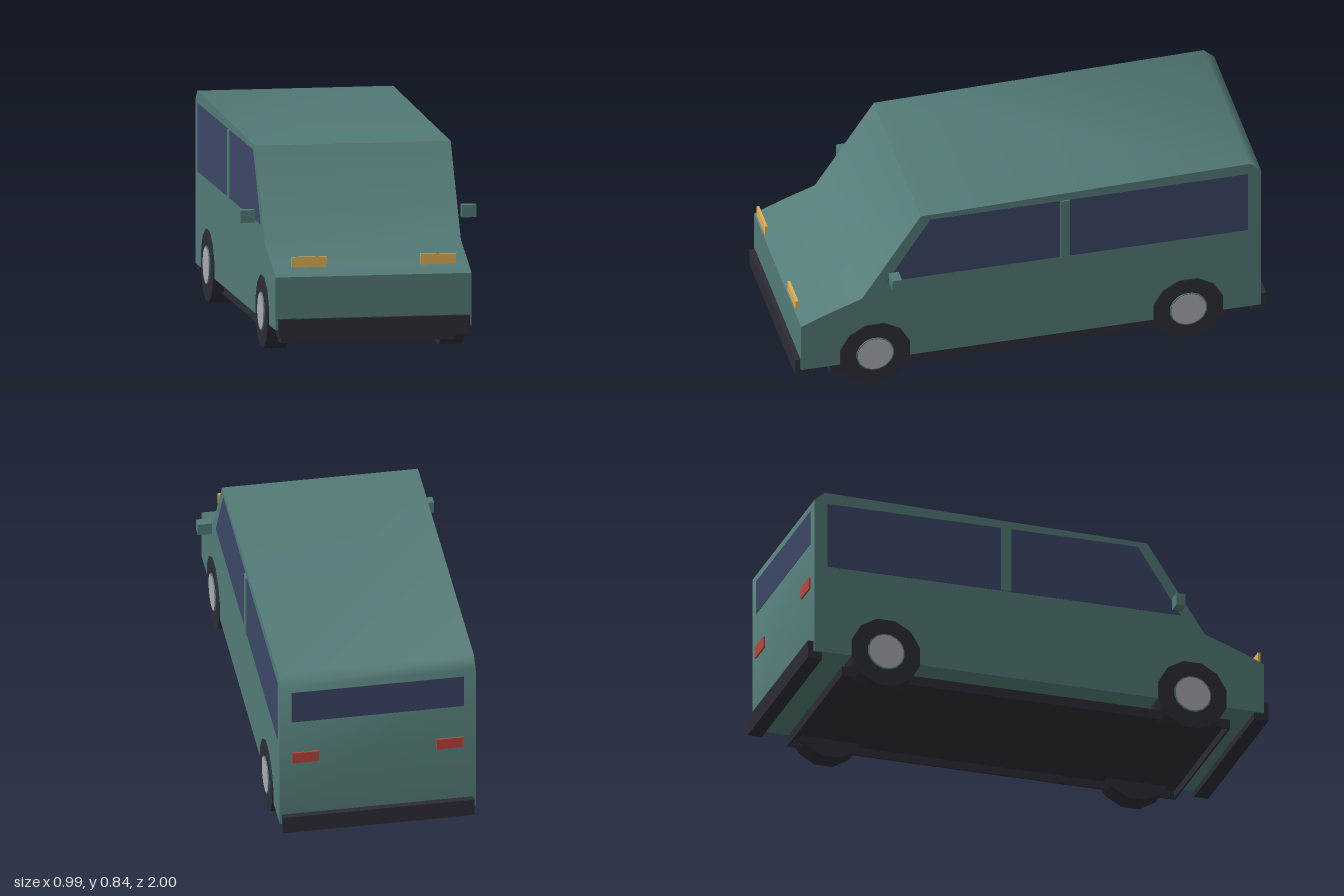
import * as THREE from 'three';
import { toCreasedNormals } from 'three/addons/utils/BufferGeometryUtils.js';

const mat = (name, color) => {
  const m = new THREE.MeshStandardMaterial({ color });
  m.name = name;
  return m;
};

export function createModel() {
  const van = new THREE.Group();
  van.name = 'van';
  const paint = mat('green paint', 0x537b77);
  const glass = mat('tinted glass', 0x3b4766);
  const rubber = mat('dark trim', 0x2c2c36);
  const metal = mat('hubcap grey', 0xa9a9b2);
  const amber = mat('amber lamp', 0xdeae56);
  const red = mat('red lamp', 0xb8463a);

  const add = (name, geometry, material) => {
    const mesh = new THREE.Mesh(geometry, material);
    mesh.name = name;
    van.add(mesh);
  };
  // Box given by its limits along each axis
  const box = (name, material, [x0, x1], [y0, y1], [z0, z1]) => {
    const geometry = new THREE.BoxGeometry(x1 - x0, y1 - y0, z1 - z0);
    add(name, geometry.translate((x0 + x1) / 2, (y0 + y1) / 2, (z0 + z1) / 2), material);
  };
  // Side outline of [z, y] points, extruded across x and centred; shallow corners shade smoothly
  const slab = (name, material, points, width, x = 0) => {
    const shape = new THREE.Shape(points.map(([z, y]) => new THREE.Vector2(z, y)));
    const geometry = new THREE.ExtrudeGeometry(shape, { depth: width, bevelEnabled: false });
    geometry.rotateY(-Math.PI / 2).translate(width / 2 + x, 0, 0);
    add(name, toCreasedNormals(geometry, 0.85), material);
  };
  // Short cylinder lying along x
  const disc = (name, material, radius, width, sides, x, y, z) => {
    const geometry = new THREE.CylinderGeometry(radius, radius, width, sides);
    geometry.rotateY(Math.PI / sides).rotateZ(Math.PI / 2).translate(x, y, z);
    add(name, geometry, material);
  };

  // Body shell
  slab('body', paint, [
    [-0.975, 0.115], [0.978, 0.115], [0.978, 0.335], [0.87, 0.38], [0.72, 0.435],
    [0.47, 0.812], [-0.93, 0.84], [-0.975, 0.8],
  ], 0.82);

  // Floor pan: a shallow tray, open below
  box('floorPan', rubber, [-0.365, 0.365], [0.077, 0.083], [-0.84, 0.845]);
  box('frontFloorRim', rubber, [-0.365, 0.365], [0.042, 0.077], [0.837, 0.845]);
  box('rearFloorRim', rubber, [-0.365, 0.365], [0.042, 0.077], [-0.84, -0.832]);

  // Bumpers
  box('frontBumper', rubber, [-0.4, 0.4], [0.085, 0.162], [0.938, 1]);
  box('rearBumper', rubber, [-0.4, 0.4], [0.085, 0.162], [-1, -0.938]);

  // Rear window
  box('rearWindow', glass, [-0.36, 0.36], [0.622, 0.77], [-0.9765, -0.972]);

  for (const [side, s] of [['left', 1], ['right', -1]]) {
    const span = (a, b) => (s > 0 ? [a, b] : [-b, -a]);

    box(side + 'FloorRim', rubber, span(0.357, 0.365), [0.042, 0.077], [-0.84, 0.845]);

    // Side windows, nearly flush, and the pillar between them
    slab(side + 'FrontWindow', glass,
      [[-0.123, 0.505], [0.615, 0.505], [0.43, 0.79], [-0.123, 0.79]], 0.005, s * 0.409);
    slab(side + 'RearWindow', glass,
      [[-0.918, 0.505], [-0.16, 0.505], [-0.16, 0.79], [-0.918, 0.79]], 0.005, s * 0.409);
    box(side + 'Pillar', paint, span(0.4, 0.417), [0.505, 0.79], [-0.162, -0.121]);

    // Mirror and lamps
    box(side + 'Mirror', paint, span(0.434, 0.494), [0.512, 0.564], [0.57, 0.61]);
    box(side + 'Headlight', amber, span(0.196, 0.343), [0.376, 0.419], [0.973, 0.985]);
    box(side + 'TailLight', red, span(0.246, 0.358), [0.419, 0.469], [-0.982, -0.97]);

    // Twelve-sided wheels with painted rims around grey hubcaps
    for (const [end, z] of [['Front', 0.665], ['Rear', -0.665]]) {
      disc(side + end + 'Tyre', rubber, 0.153, 0.095, 12, s * 0.3675, 0.149, z);
      disc(side + end + 'Rim', paint, 0.08, 0.018, 16, s * 0.411, 0.151, z);
      disc(side + end + 'Hubcap', metal, 0.075, 0.02, 16, s * 0.411, 0.151, z);
    }
  }
  return van;
}
